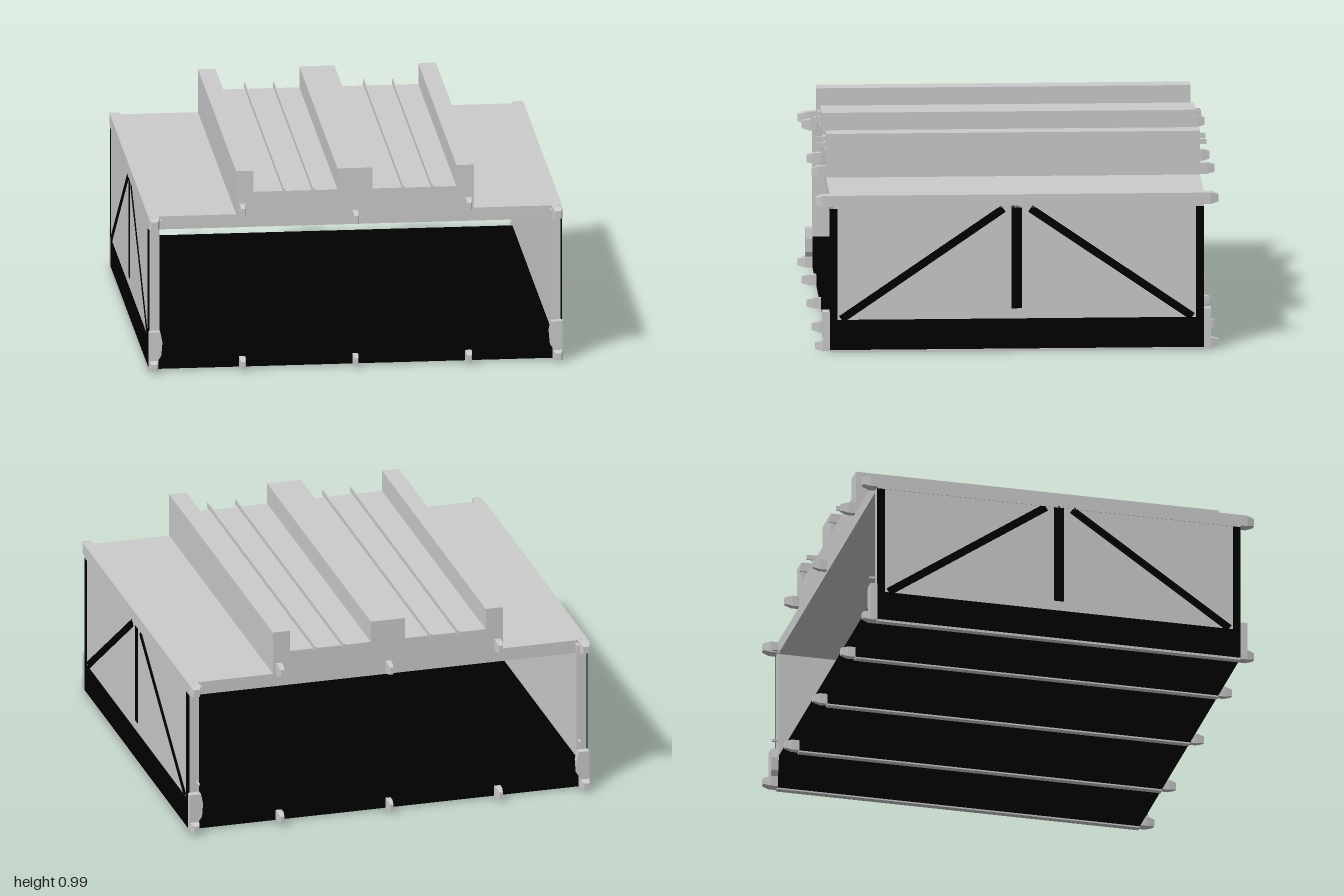
import * as THREE from 'three';

const grey = new THREE.MeshStandardMaterial({ color: 0xcccccc, flatShading: true });
const black = new THREE.MeshStandardMaterial({ color: 0x000000, flatShading: true });

const HALF_LENGTH = 0.9;

export function createModel() {
  const model = new THREE.Group();

  const add = (name, geometry, material = grey) => {
    const mesh = new THREE.Mesh(geometry, material);
    mesh.name = name;
    model.add(mesh);
    return mesh;
  };

  // Box given by its limits on each axis
  const box = (name, x0, x1, y0, y1, z0, z1, material) => {
    const geometry = new THREE.BoxGeometry(Math.abs(x1 - x0), y1 - y0, Math.abs(z1 - z0));
    geometry.translate((x0 + x1) / 2, (y0 + y1) / 2, (z0 + z1) / 2);
    return add(name, geometry, material);
  };

  // Outline in x, y extruded along z
  const extrude = (name, points, z0, z1, material) => {
    const shape = new THREE.Shape(points.map(([x, y]) => new THREE.Vector2(x, y)));
    const geometry = new THREE.ExtrudeGeometry(shape, { depth: z1 - z0, bevelEnabled: false });
    geometry.translate(0, 0, z0);
    return add(name, geometry, material);
  };

  // Lug reaching past the end of the body, narrowing towards its tip
  const lug = (name, x, y, width, height, end) => {
    const length = 0.07;
    const geometry = new THREE.BoxGeometry(width, height, length, 1, 1, 2);
    const pos = geometry.attributes.position;
    for (let i = 0; i < pos.count; i++) {
      if (pos.getZ(i) * end <= 0.001) continue;
      pos.setX(i, pos.getX(i) * 0.6);
      pos.setY(i, pos.getY(i) * 0.65);
    }
    geometry.translate(x, y, end * (HALF_LENGTH + length / 2));
    add(name, geometry);
  };

  // Floor slab and the rails beneath it
  box('floor', -0.998, 0.998, 0.008, 0.16, -HALF_LENGTH, HALF_LENGTH, black);
  for (const x of [-0.55, 0, 0.55]) box('floorRail', x - 0.015, x + 0.015, 0, 0.012, -HALF_LENGTH, HALF_LENGTH);

  // Stepped roof with three raised ridges
  extrude('roof', [
    [-1, 0.705], [1, 0.705], [1, 0.77], [0.575, 0.77], [0.575, 0.985], [0.49, 0.985],
    [0.49, 0.88], [0.085, 0.88], [0.085, 0.985], [-0.085, 0.985], [-0.085, 0.88],
    [-0.49, 0.88], [-0.49, 0.985], [-0.575, 0.985], [-0.575, 0.77], [-1, 0.77],
  ], -HALF_LENGTH, HALF_LENGTH);

  // Thin strips along the roof
  for (const x of [-0.345, -0.205, 0.23, 0.37]) {
    box('roofStrip', x - 0.004, x + 0.004, 0.878, 0.902, -0.94, 0.94);
  }

  for (const side of [-1, 1]) {
    box('sideWall', side * 0.945, side * 0.998, 0.16, 0.705, -HALF_LENGTH, HALF_LENGTH);
    box('edgeRail', side * 0.97, side, 0, 0.012, -HALF_LENGTH, HALF_LENGTH);

    // Dark frame on the outside of the wall
    const inner = side * 0.994, outer = side;
    box('centrePost', inner, outer, 0.21, 0.715, -0.025, 0.025, black);
    for (const end of [-1, 1]) {
      box('endPost', inner, outer, 0.16, 0.715, end * 0.863, end * 0.901, black);
      const from = new THREE.Vector2(end * 0.845, 0.163);
      const to = new THREE.Vector2(end * 0.065, 0.7);
      const span = to.clone().sub(from);
      const brace = add('brace', new THREE.BoxGeometry(0.006, 0.038, span.length()), black);
      brace.position.set(side * 0.997, (from.y + to.y) / 2, (from.x + to.x) / 2);
      brace.rotation.x = -Math.atan2(span.y, span.x);

      // Corner foot, cut back near the ground
      const z0 = end > 0 ? HALF_LENGTH : -0.935;
      extrude('cornerFoot', [
        [side, 0.008], [side, 0.2], [side * 0.945, 0.2], [side * 0.935, 0.15],
        [side * 0.94, 0.085], [side * 0.955, 0.06], [side * 0.955, 0.008],
      ], z0, z0 + 0.035);

      lug('lowerCornerLug', side * 0.977, 0.032, 0.045, 0.05, end);
      lug('upperCornerLug', side * 0.975, 0.742, 0.05, 0.055, end);
      box('upperCornerTab', side * 0.937, side * 0.952, 0.72, 0.755, end * 0.895, end * 0.93);
      lug('lowerLug', side * 0.547, 0.034, 0.03, 0.052, end);
      lug('upperLug', side * 0.547, 0.797, 0.03, 0.054, end);
    }
    // Small pin on the back edge
    box('wallPin', side * 0.95, side * 0.96, 0.243, 0.253, -0.93, -0.895);
  }

  // Lugs on the centre line
  for (const end of [-1, 1]) {
    lug('lowerLug', 0, 0.034, 0.026, 0.052, end);
    lug('upperLug', 0, 0.746, 0.026, 0.056, end);
  }

  return model;
}
